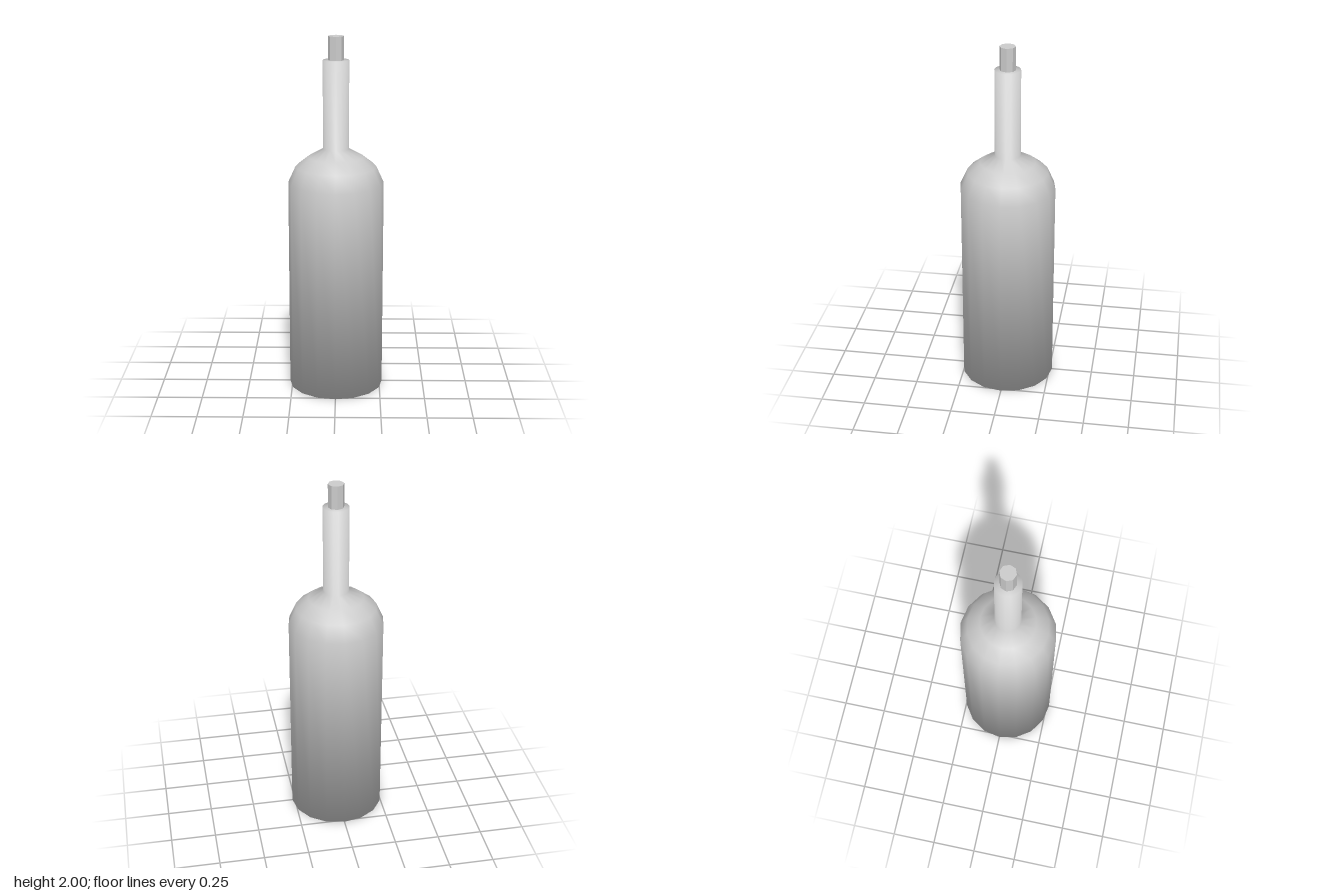
import * as THREE from 'three';

// Smooth lathe whose normals weigh neighbouring profile segments equally
function smoothLathe(profile, sides) {
  const points = profile.map(([r, y]) => new THREE.Vector2(r, y));
  const geometry = new THREE.LatheGeometry(points, sides);
  const segmentNormals = points.slice(1).map((p, i) => {
    const d = p.clone().sub(points[i]).normalize();
    return new THREE.Vector2(d.y, -d.x);
  });
  const normals = points.map((p, i) => {
    const n = new THREE.Vector2();
    if (i > 0) n.add(segmentNormals[i - 1]);
    if (i < segmentNormals.length) n.add(segmentNormals[i]);
    if (p.x === 0) n.x = 0;
    return n.normalize();
  });
  const attribute = geometry.attributes.normal;
  for (let k = 0; k < attribute.count; k++) {
    const n = normals[k % points.length];
    const a = Math.floor(k / points.length) / sides * Math.PI * 2;
    attribute.setXYZ(k, n.x * Math.sin(a), n.y, n.x * Math.cos(a));
  }
  return geometry;
}

export function createModel() {
  const group = new THREE.Group();
  group.name = 'bottle';

  // Glass: hollowed base, straight body, rounded shoulder, neck and lip
  const glass = new THREE.Mesh(
    smoothLathe([
      [0, 0.1], [0.11, 0.09], [0.2, 0.055], [0.265, 0],
      [0.265, 1.19], [0.224, 1.28], [0.153, 1.335], [0.072, 1.38],
      [0.072, 1.87], [0, 1.87],
    ], 16),
    new THREE.MeshStandardMaterial({ color: 0xcccccc })
  );
  glass.name = 'glassBody';
  group.add(glass);

  // Faceted cork standing out of the neck
  const cork = new THREE.Mesh(
    new THREE.CylinderGeometry(0.044, 0.044, 0.14, 8),
    new THREE.MeshStandardMaterial({ color: 0xcccccc, flatShading: true })
  );
  cork.name = 'cork';
  cork.position.y = 1.93;
  group.add(cork);

  return group;
}
